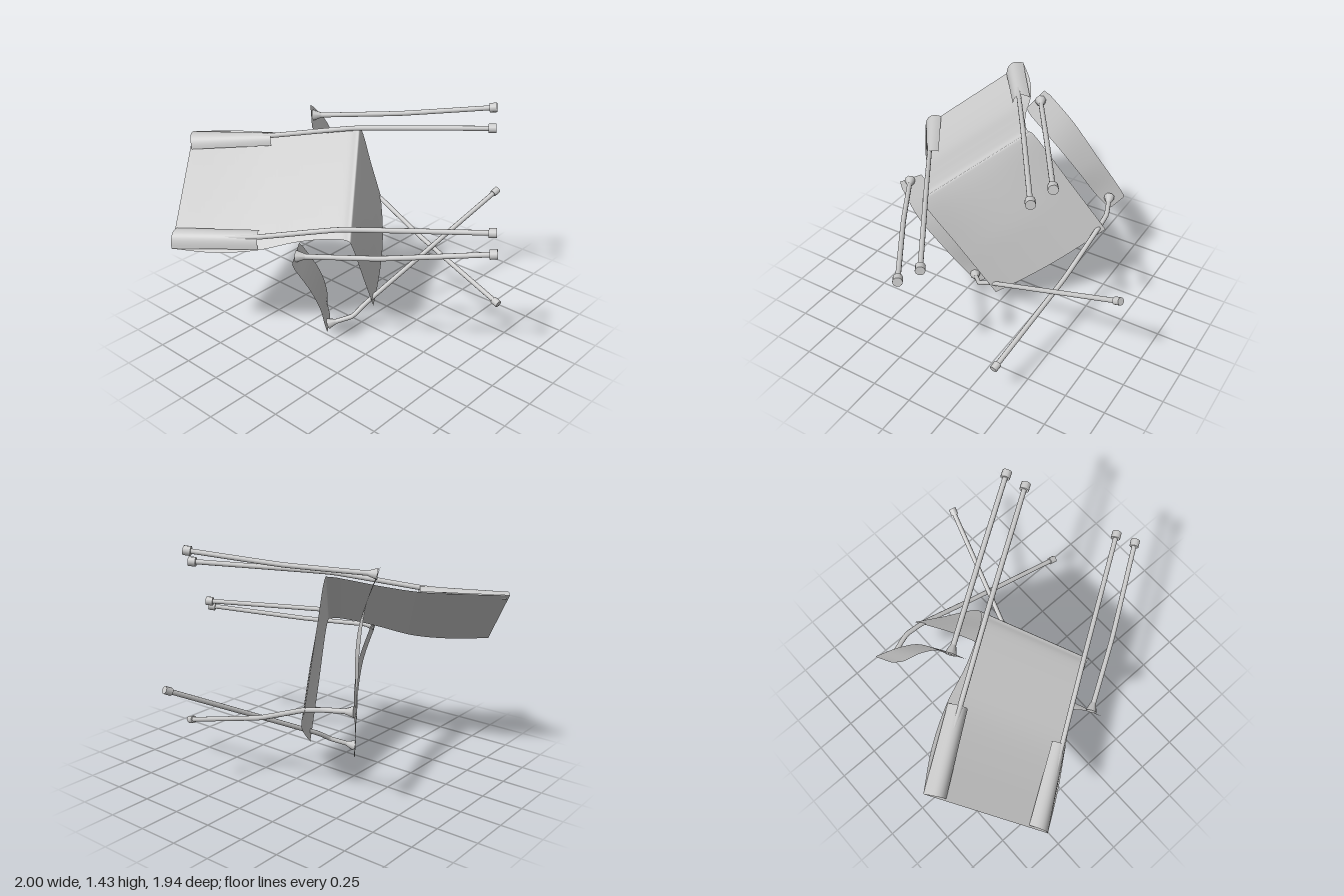
import * as THREE from 'three';

const V = (a) => new THREE.Vector3(...a);
const metal = new THREE.MeshStandardMaterial({ color: 0xcccccc });
const cloth = new THREE.MeshStandardMaterial({ color: 0xcccccc, side: THREE.DoubleSide });

// The tipped-over chair is symmetric about this slanted plane
const AXIS = new THREE.Vector3(0.498, -0.556, 0.664).normalize();
const mirror = (p) => p.clone().addScaledVector(AXIS, -2 * (p.dot(AXIS) + 0.462));
const same = (p) => p.clone();

const path = (pts, tension = 0.5) => new THREE.CatmullRomCurve3(pts, false, 'catmullrom', tension);

// Thin surface through rows of points
function sheet(rows, name) {
  const n = rows[0].length, pos = [], idx = [];
  rows.forEach((r) => r.forEach((p) => pos.push(p.x, p.y, p.z)));
  for (let i = 0; i < rows.length - 1; i++) {
    for (let j = 0; j < n - 1; j++) {
      const a = i * n + j, b = a + n;
      idx.push(a, b, a + 1, a + 1, b, b + 1);
    }
  }
  const g = new THREE.BufferGeometry();
  g.setAttribute('position', new THREE.Float32BufferAttribute(pos, 3));
  g.setIndex(idx);
  g.computeVertexNormals();
  const m = new THREE.Mesh(g, cloth);
  m.name = name;
  return m;
}

// Cylinder or cone from a to b
function bar(a, b, ra, rb, sides, name) {
  const d = b.clone().sub(a);
  const m = new THREE.Mesh(new THREE.CylinderGeometry(rb, ra, d.length(), sides), metal);
  m.position.copy(a).lerp(b, 0.5);
  m.quaternion.setFromUnitVectors(new THREE.Vector3(0, 1, 0), d.normalize());
  m.name = name;
  return m;
}

// Bent rod with a foot cap at its far end, and a fabric pocket at its start if wanted
function rod(points, name, footR, pocket) {
  const pts = points.map(V);
  const g = new THREE.Group();
  g.name = name;
  const tube = new THREE.Mesh(new THREE.TubeGeometry(path(pts, 0.15), 48, 0.015, 10), metal);
  tube.name = name + 'Tube';
  const end = pts[pts.length - 1];
  const dir = end.clone().sub(pts[pts.length - 2]).normalize();
  g.add(tube, bar(end.clone().addScaledVector(dir, -0.022), end.clone().addScaledVector(dir, 0.022),
    footR, footR, 10, name + 'Foot'));
  if (pocket) {
    const d0 = pts[1].clone().sub(pts[0]).normalize();
    g.add(bar(pts[0].clone().addScaledVector(d0, -0.01), pts[0].clone().addScaledVector(d0, 0.045),
      0.034, 0.015, 8, name + 'Pocket'));
  }
  return g;
}

export function createModel() {
  const chair = new THREE.Group();
  chair.name = 'foldingChair';

  // Main sling: one side's profile joined to its mirror image, its hanging part bowed in the middle
  const profile = [[-0.595, 0.722, 0.967], [-0.39, 0.713, 0.828], [-0.2, 0.735, 0.68], [-0.02, 0.795, 0.54],
    [0.13, 0.83, 0.447], [0.23, 0.835, 0.392], [0.256, 0.785, 0.366], [0.17, 0.48, 0.18], [0.08, 0.15, -0.02]];
  const edge = path(profile.map(V)).getPoints(64);
  const bowDir = new THREE.Vector3(0.83, 0.1, -0.55);
  chair.add(sheet(edge.map((p, i) => {
    const q = mirror(p);
    const bow = 0.035 * THREE.MathUtils.smoothstep(i, 46, 58);
    return Array.from({ length: 11 }, (_, k) => p.clone().lerp(q, k / 10)
      .addScaledVector(bowDir, bow * Math.sin(Math.PI * k / 10)));
  }), 'slingSeat'));

  // Side strip edges, outer and inner
  const outer = path([[0.094, 0.75, 0.685], [0.095, 0.53, 0.55], [0.035, 0.31, 0.41],
    [-0.035, 0.125, 0.305], [-0.085, 0.002, 0.23]].map(V)).getPoints(24);
  const inner = path([[0.022, 0.818, 0.548], [0.024, 0.58, 0.4], [-0.03, 0.37, 0.285],
    [-0.115, 0.18, 0.19], [-0.145, 0.055, 0.137]].map(V)).getPoints(24);
  const up = new THREE.Vector3(0.24, 0.825, 0.51).normalize();
  const hemEnds = [[[-0.595, 0.722, 0.967], [-0.652, 0.8, 0.872]], [[-0.19, 0.742, 0.672], [-0.237, 0.825, 0.607]]];

  for (const [side, m] of [['left', same], ['right', mirror]]) {
    // Strip with slightly rounded ends
    chair.add(sheet(outer.map((p, i) => {
      const inset = i === 0 || i === 24 ? 0.06 : 0;
      const a = p.clone().lerp(inner[i], inset), b = inner[i].clone().lerp(p, inset);
      return [a, a.clone().lerp(b, 0.5), b].map(m);
    }), side + 'Strip'));

    // Hem wrapped over the inner rod
    chair.add(sheet(hemEnds.map(([a, b]) => {
      const A = V(a), B = V(b);
      const top = A.clone().lerp(B, 0.5).addScaledVector(up, 0.085);
      return new THREE.QuadraticBezierCurve3(A, top, B).getPoints(12).map(m);
    }), side + 'Hem'));
  }

  // Long legs running out of the hems
  chair.add(rod([[-0.6, 0.775, 0.92], [-0.21, 0.81, 0.66], [0.195, 0.892, 0.392], [0.89, 0.935, -0.06]],
    'leftInnerLeg', 0.028, false));
  chair.add(rod([[-0.96, 1.15, 0.465], [-0.555, 1.195, 0.2], [-0.125, 1.272, -0.078], [0.55, 1.317, -0.515]],
    'rightInnerLeg', 0.028, false));

  // Long legs running out of the strips
  chair.add(rod([[0.07, 0.77, 0.613], [0.46, 0.8, 0.375], [0.965, 0.87, 0.035]],
    'leftOuterLeg', 0.028, true));
  chair.add(rod([[-0.41, 1.295, -0.035], [0.03, 1.335, -0.32], [0.488, 1.403, -0.607]],
    'rightOuterLeg', 0.028, true));

  // Crossing legs
  chair.add(rod([[-0.065, 0.08, 0.23], [0.04, 0.13, 0.13], [0.07, 0.2, 0.02], [0.33, 0.695, -0.945]],
    'leftCrossLeg', 0.023, true));
  chair.add(rod([[-0.575, 0.645, -0.457], [-0.42, 0.635, -0.515], [-0.28, 0.6, -0.518], [0.08, 0.455, -0.487],
    [0.725, 0.26, -0.415]], 'rightCrossLeg', 0.023, true));

  return chair;
}
